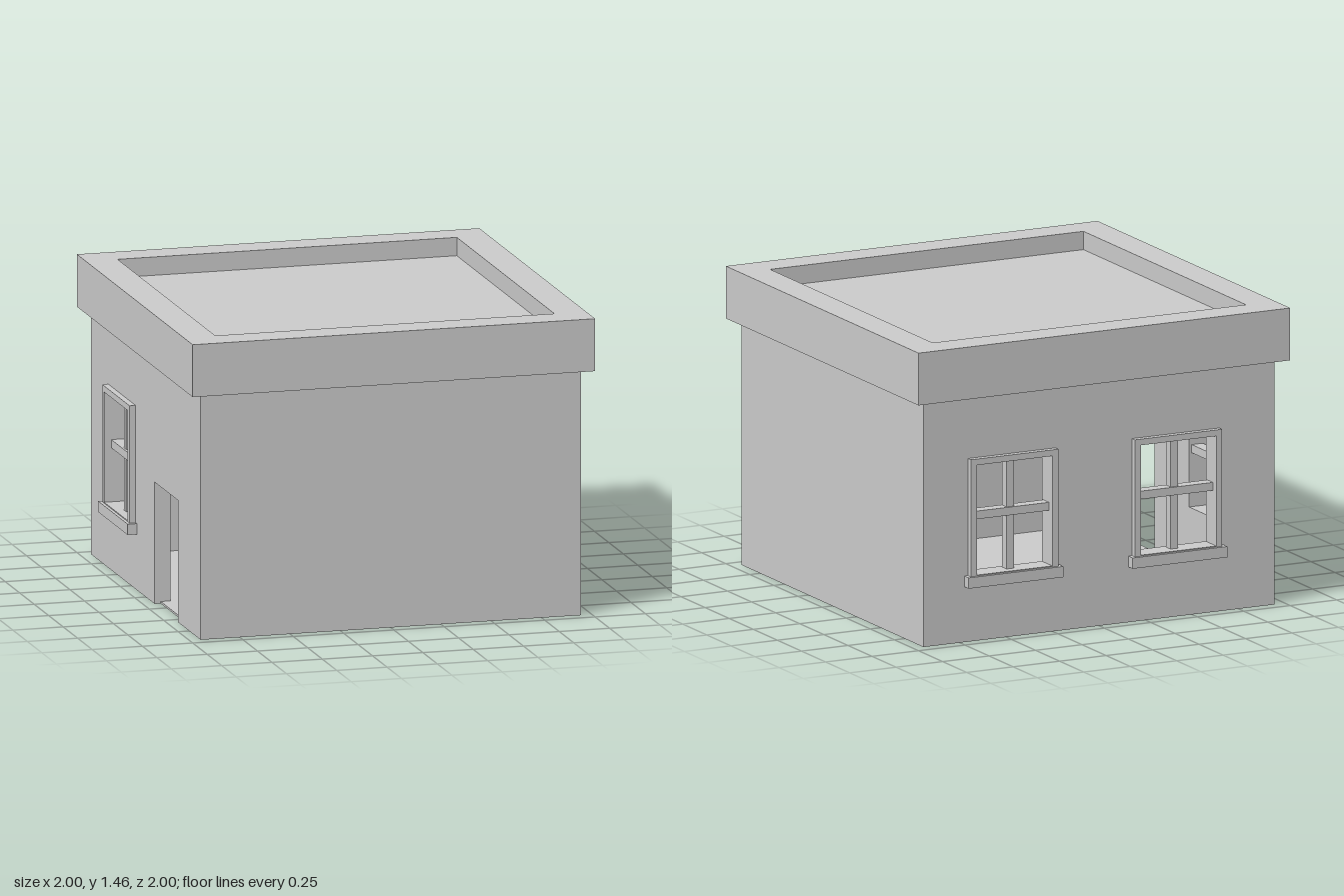
import * as THREE from 'three';

const material = new THREE.MeshStandardMaterial({ color: 0xcccccc });

const OUTER = 0.945;   // outer wall face
const INNER = 0.866;   // inner wall face
const WALL_TOP = 1.205;
const TOP = 1.462;

function add(parent, name, geometry) {
  const mesh = new THREE.Mesh(geometry, material);
  mesh.name = name;
  parent.add(mesh);
  return mesh;
}

// Box given by its lower and upper corners
function box(parent, name, [x0, y0, z0], [x1, y1, z1]) {
  const mesh = add(parent, name, new THREE.BoxGeometry(x1 - x0, y1 - y0, z1 - z0));
  mesh.position.set((x0 + x1) / 2, (y0 + y1) / 2, (z0 + z1) / 2);
  return mesh;
}

const polygon = (Type, points) => new Type(points.map(([x, y]) => new THREE.Vector2(x, y)));
const rect = (Type, x0, y0, x1, y1) => polygon(Type, [[x0, y0], [x1, y0], [x1, y1], [x0, y1]]);

function extrude(shape, z0, z1) {
  const geometry = new THREE.ExtrudeGeometry(shape, { depth: z1 - z0, bevelEnabled: false });
  return geometry.translate(0, 0, z0);
}

// Window: surround, sill and crossed glazing bars, facing local +z
const OPENING = { half: 0.203, bottom: 0.33, top: 0.87 };
function addWindow(parent, u) {
  const win = new THREE.Group();
  win.name = 'window';
  win.position.x = u;
  parent.add(win);
  const { half, bottom, top } = OPENING;
  const surround = rect(THREE.Shape, -0.235, 0.3, 0.235, 0.9);
  surround.holes.push(rect(THREE.Path, -half, bottom, half, top));
  add(win, 'windowFrame', extrude(surround, OUTER - 0.01, 0.975));
  box(win, 'windowSill', [-0.255, 0.272, OUTER - 0.01], [0.255, 0.325, 0.99]);
  box(win, 'verticalBar', [-0.02, bottom, 0.885], [0.02, top, 0.93]);
  box(win, 'horizontalBar', [-half, 0.595, 0.88], [half, 0.635, 0.94]);
}

// Wall facing local +z, with windows and an optional door cut from its foot
function addWall(parent, name, halfWidth, rotation, windows, door) {
  const wall = new THREE.Group();
  wall.name = name;
  wall.rotation.y = rotation;
  parent.add(wall);
  const outline = [[-halfWidth, 0]];
  if (door) {
    const { left, right, height } = door;
    outline.push([left, 0], [left, height], [right, height], [right, 0]);
  }
  outline.push([halfWidth, 0], [halfWidth, WALL_TOP], [-halfWidth, WALL_TOP]);
  const shape = polygon(THREE.Shape, outline);
  for (const u of windows) {
    shape.holes.push(rect(THREE.Path, u - OPENING.half, OPENING.bottom, u + OPENING.half, OPENING.top));
    addWindow(wall, u);
  }
  add(wall, name + 'Panel', extrude(shape, INNER, OUTER));
}

export function createModel() {
  const house = new THREE.Group();
  house.name = 'house';

  // Walls: front and left are blank, back has two windows, right has a window and a doorway
  addWall(house, 'frontWall', OUTER, 0, []);
  addWall(house, 'backWall', OUTER, Math.PI, [-0.47, 0.412]);
  addWall(house, 'leftWall', INNER, Math.PI / 2, []);
  addWall(house, 'rightWall', INNER, -Math.PI / 2, [-0.412],
    { left: 0.152, right: 0.553, height: 0.597 });

  // Floor reaches part way under the doorway
  box(house, 'floor', [-0.915, 0, -0.915], [0.915, 0.01, 0.915]);

  // Flat roof sunk inside a heavy parapet
  const ring = rect(THREE.Shape, -1, -1, 1, 1);
  ring.holes.push(rect(THREE.Path, -0.843, -0.843, 0.843, 0.843));
  const parapet = add(house, 'parapet', extrude(ring, WALL_TOP, TOP));
  parapet.rotation.x = -Math.PI / 2;
  box(house, 'roofDeck', [-0.88, WALL_TOP, -0.88], [0.88, 1.372, 0.88]);

  return house;
}
